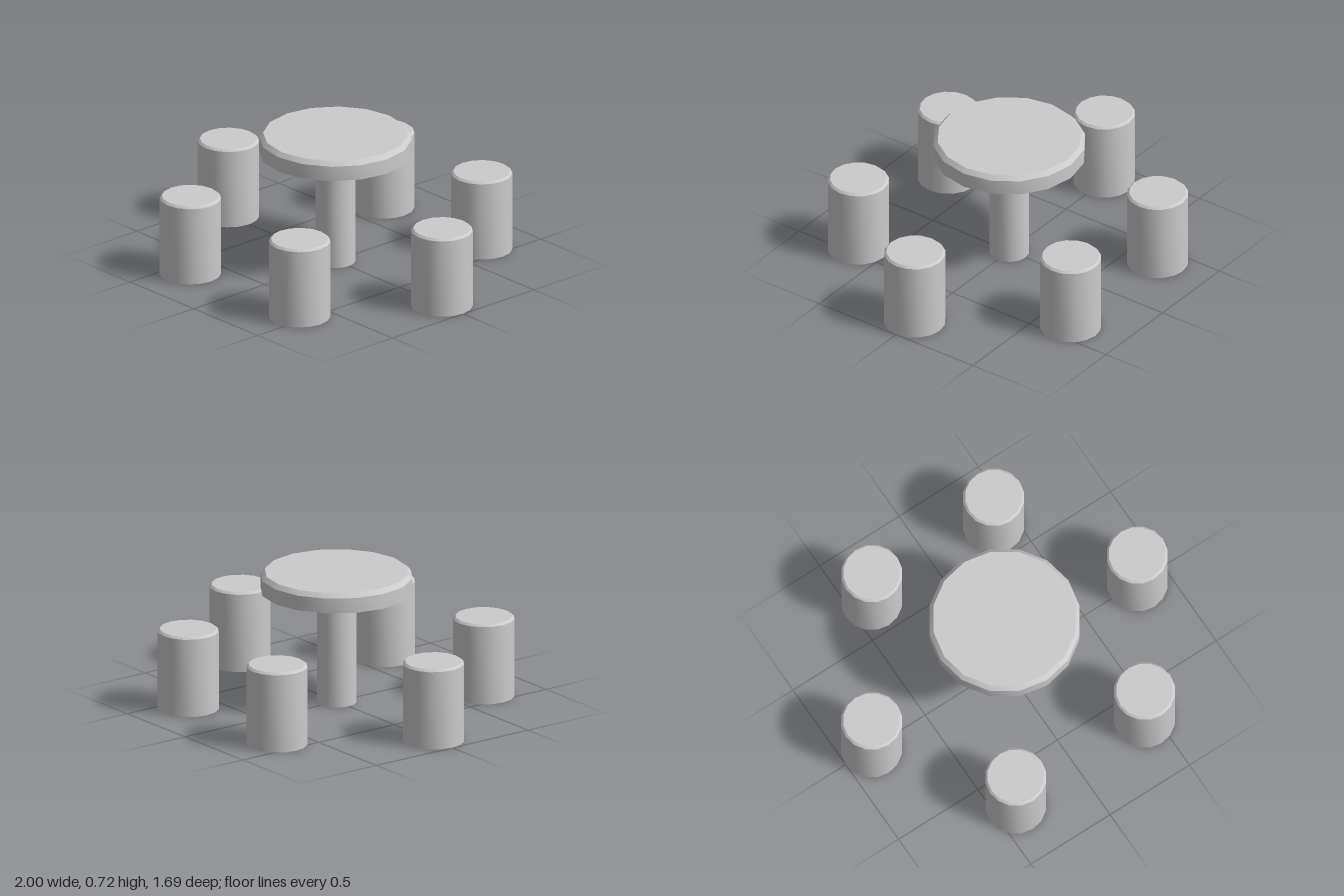
import * as THREE from 'three';
import { toCreasedNormals } from 'three/addons/utils/BufferGeometryUtils.js';

const SIDES = 16;
const material = new THREE.MeshStandardMaterial({ color: 0xcccccc, side: THREE.DoubleSide });

// Turned solid from [radius, height] pairs, listed bottom to top
function turned(name, profile) {
  const points = profile.map(([r, y]) => new THREE.Vector2(r, y));
  const geometry = toCreasedNormals(new THREE.LatheGeometry(points, SIDES), 0.6);
  const mesh = new THREE.Mesh(geometry, material);
  mesh.name = name;
  return mesh;
}

export function createModel() {
  const model = new THREE.Group();
  model.name = 'roundTableWithStools';

  // Table: hollow pedestal, open at the floor, under a disc with a bevelled rim
  const table = new THREE.Group();
  table.name = 'table';
  table.add(
    turned('pedestal', [[0.105, 0], [0.105, 0.613]]),
    turned('tableTop', [[0, 0.613], [0.402, 0.613], [0.402, 0.694], [0.38, 0.718], [0, 0.718]])
  );
  model.add(table);

  // Six drum stools, open below, with a small bevel round the seat
  const stoolPositions = [
    [-0.838, 0], [0.835, 0],
    [-0.382, -0.685], [0.386, -0.685],
    [-0.382, 0.68], [0.446, 0.655],
  ];
  stoolPositions.forEach(([x, z]) => {
    const stool = turned('stool', [[0.162, 0], [0.162, 0.426], [0.15, 0.438], [0, 0.438]]);
    stool.position.set(x, 0, z);
    model.add(stool);
  });

  return model;
}
